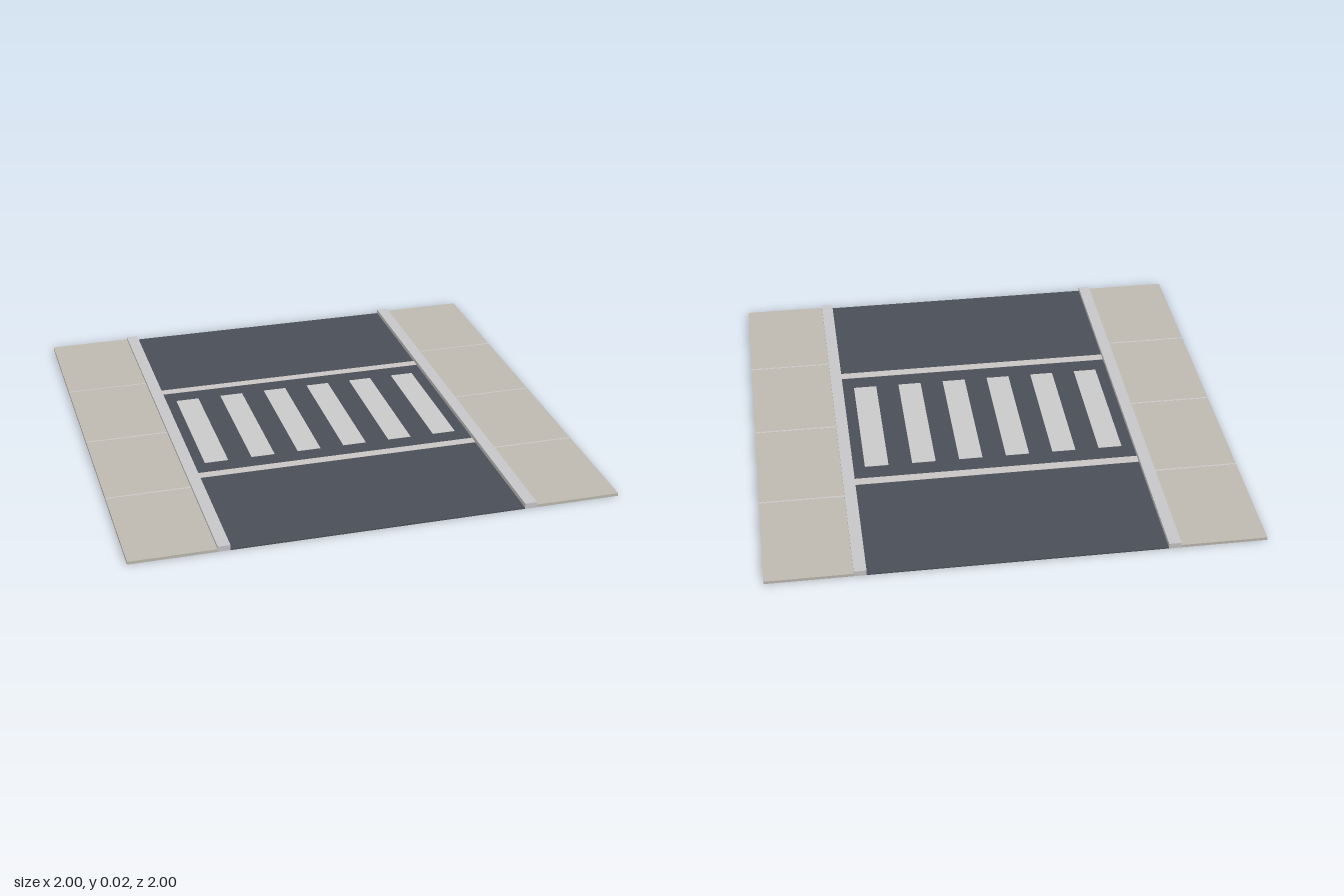
import * as THREE from 'three';

const mat = (name, color) => {
  const m = new THREE.MeshStandardMaterial({ color });
  m.name = name;
  return m;
};

export function createModel() {
  const asphalt = mat('asphalt', 0x4a4e57);
  const paving = mat('paving', 0xbdb9b0);
  const kerbStone = mat('kerbStone', 0xc6c6c8);
  const whitePaint = mat('whitePaint', 0xc9c9c9);
  const linePaint = mat('linePaint', 0xcac5c5);
  const jointGrey = mat('jointGrey', 0xc8c7c3);

  const group = new THREE.Group();
  group.name = 'pedestrianCrossing';

  // Box given by its size, centre in plan, and bottom height
  const slab = (name, material, w, h, d, x, y, z) => {
    const mesh = new THREE.Mesh(new THREE.BoxGeometry(w, h, d), material);
    mesh.name = name;
    mesh.position.set(x, y + h / 2, z);
    group.add(mesh);
  };

  const roadTop = 0.005, paveTop = 0.012, kerbTop = 0.023;

  slab('road', asphalt, 1.2, roadTop, 2, 0, 0, 0);

  // Crossing bars
  for (let i = 0; i < 6; i++) {
    slab('crossingBar', whitePaint, 0.1, 0.001, 0.6, -0.5 + i * 0.2, roadTop, 0);
  }

  // Stop lines before and after the crossing
  for (const s of [-1, 1]) {
    slab('stopLine', linePaint, 1.2, 0.001, 0.042, 0, roadTop, s * 0.4);
  }

  // Pavement, kerb and slab joints on both sides
  for (const s of [-1, 1]) {
    slab('pavement', paving, 0.35, paveTop, 2, s * 0.825, 0, 0);
    slab('kerb', kerbStone, 0.05, kerbTop, 2, s * 0.625, 0, 0);
    for (const z of [-0.5, 0, 0.5]) {
      slab('pavementJoint', jointGrey, 0.35, 0.0006, 0.01, s * 0.825, paveTop, z);
    }
  }

  return group;
}
